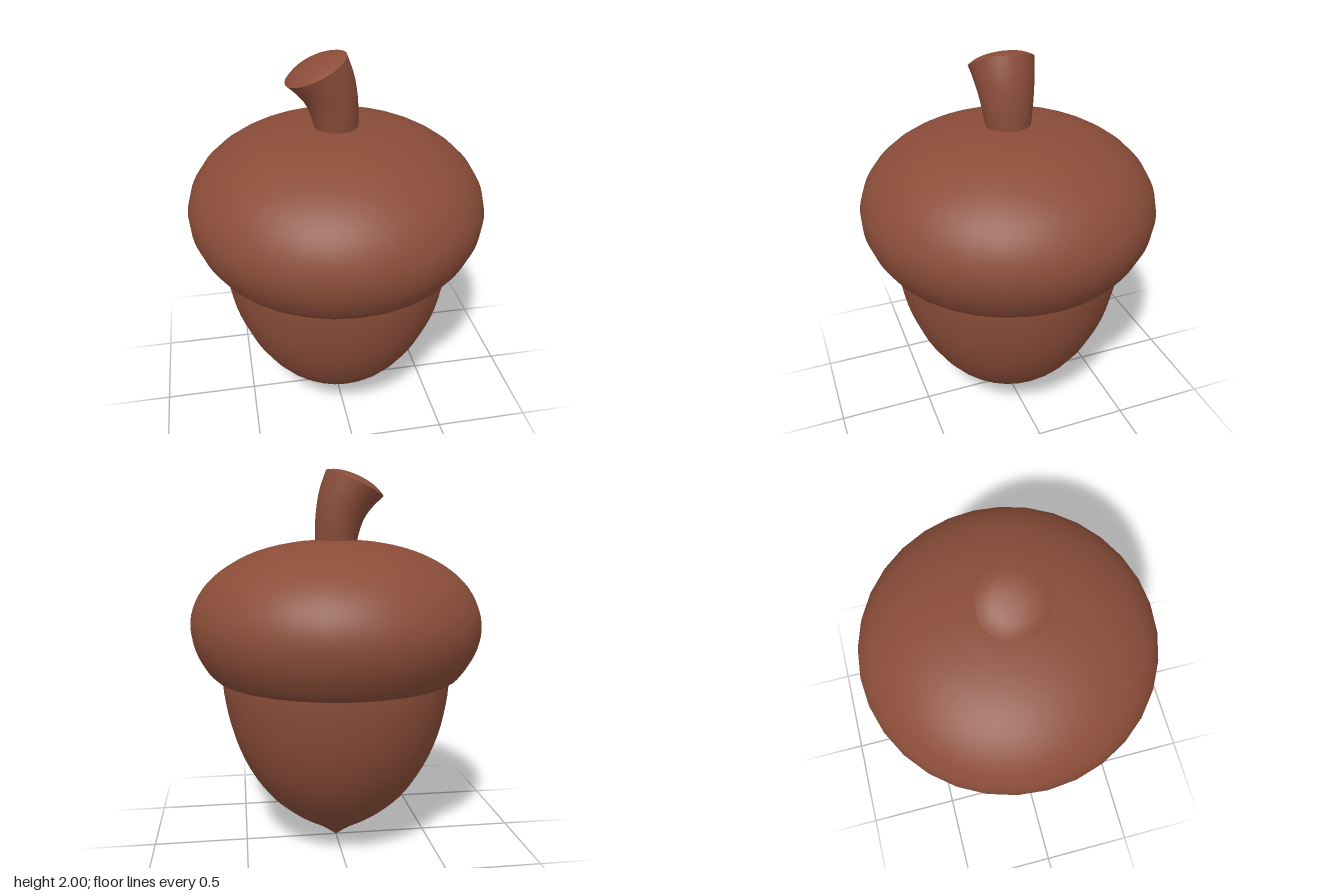
import * as THREE from 'three';
import { mergeVertices } from 'three/addons/utils/BufferGeometryUtils.js';

const SEGMENTS = 32;
const v2 = ([x, y]) => new THREE.Vector2(x, y);

// Smooth turned shape through a few profile points, listed bottom to top
function turned(profile, steps) {
  const points = new THREE.SplineCurve(profile.map(v2)).getPoints(steps);
  points.forEach((p) => { p.x = Math.max(p.x, 0); });
  return new THREE.LatheGeometry(points, SEGMENTS);
}

// Flaring stem: each ring spans from the left outline to the right outline
function stemSide(left, right, r0, r1) {
  const leftCurve = new THREE.SplineCurve(left.map(v2));
  const rightCurve = new THREE.SplineCurve(right.map(v2));
  const geo = new THREE.CylinderGeometry(1, 1, 1, SEGMENTS, 10, true);
  const pos = geo.attributes.position;
  for (let i = 0; i < pos.count; i++) {
    const t = THREE.MathUtils.clamp(pos.getY(i) + 0.5, 0, 1);
    const p = leftCurve.getPoint(t).lerp(rightCurve.getPoint(t), (pos.getX(i) + 1) / 2);
    pos.setXYZ(i, p.x, p.y, pos.getZ(i) * THREE.MathUtils.lerp(r0, r1, t));
  }
  // weld the seam so the normals stay smooth all round
  geo.deleteAttribute('uv');
  geo.deleteAttribute('normal');
  const welded = mergeVertices(geo, 1e-4);
  welded.computeVertexNormals();
  return welded;
}

export function createModel() {
  const group = new THREE.Group();
  const brown = new THREE.MeshStandardMaterial({ color: 0x8b4d39 });
  brown.name = 'acorn brown';
  const add = (name, geo) => {
    const mesh = new THREE.Mesh(geo, brown);
    mesh.name = name;
    group.add(mesh);
    return mesh;
  };

  // Nut, pointed at the bottom and tucked into the cap
  add('nut', turned([
    [0, 0], [0.1, 0.075], [0.24, 0.165], [0.375, 0.285], [0.48, 0.44],
    [0.555, 0.62], [0.595, 0.8], [0.606, 0.93], [0.6, 1.03],
  ], 24));

  // Cap, with a rounded rim that curls in against the nut
  add('cap', turned([
    [0.58, 1.02], [0.607, 0.96], [0.625, 0.936], [0.65, 0.942], [0.69, 0.99],
    [0.742, 1.09], [0.763, 1.2], [0.742, 1.31], [0.675, 1.42], [0.56, 1.515],
    [0.4, 1.59], [0.2, 1.634], [0, 1.645],
  ], 40));

  // Stem, leaning toward -x
  add('stem', stemSide(
    [[-0.105, 1.58], [-0.112, 1.65], [-0.143, 1.745], [-0.19, 1.81], [-0.246, 1.862]],
    [[0.108, 1.58], [0.11, 1.68], [0.104, 1.79], [0.085, 1.9], [0.05, 1.997]],
    0.102, 0.163,
  ));

  // Slightly domed cut end of the stem
  const end = add('stemEnd', turned([
    [0.163, 0], [0.135, 0.016], [0.1, 0.029], [0.05, 0.038], [0, 0.04],
  ], 8));
  end.position.set(-0.098, 1.9295, 0);
  end.rotation.z = Math.atan2(0.135, 0.296);

  return group;
}
